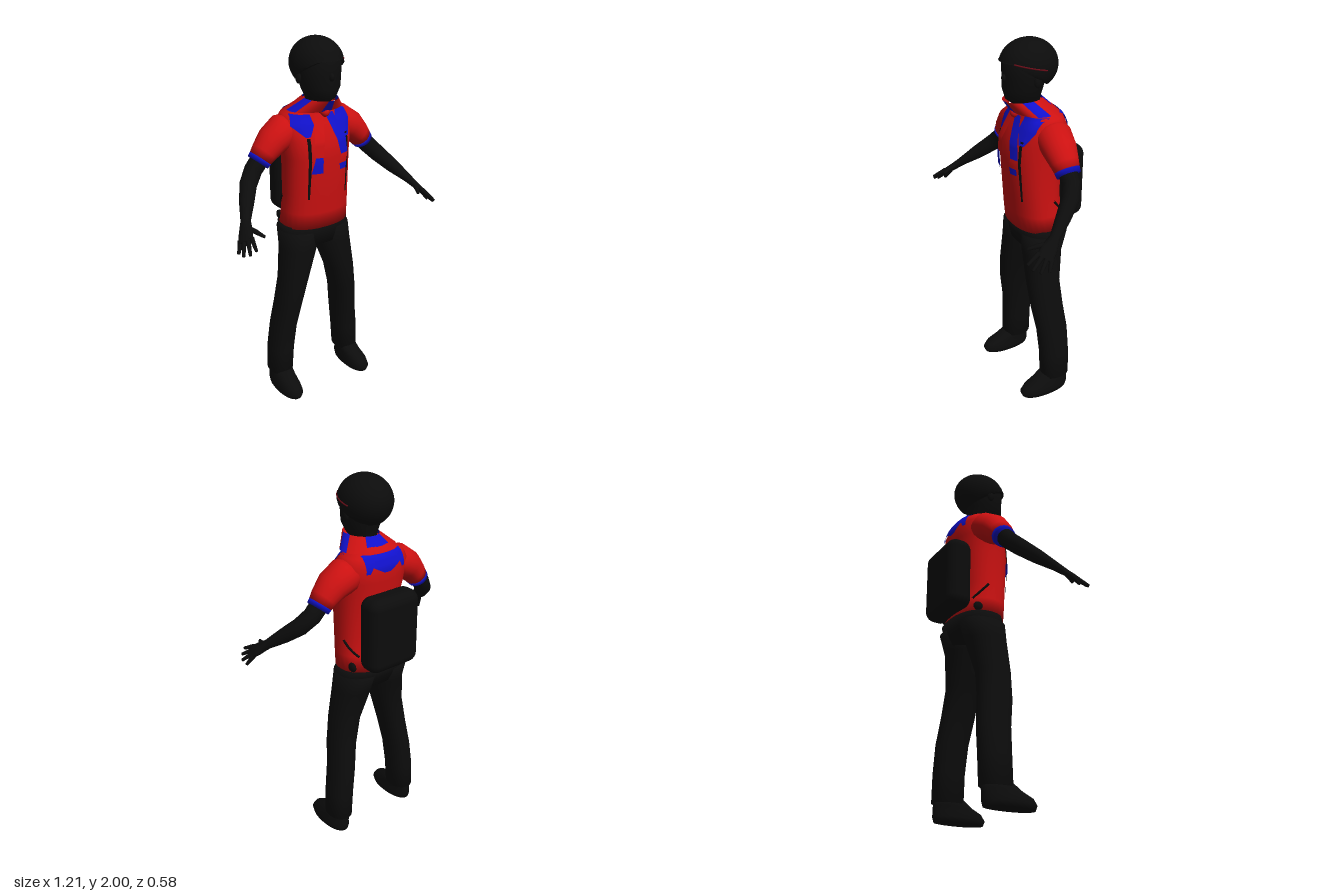
import * as THREE from 'three';
import { RoundedBoxGeometry } from 'three/addons/geometries/RoundedBoxGeometry.js';

const material = (name, color) => new THREE.MeshStandardMaterial({ name, color, side: THREE.DoubleSide });
const V = (x, y, z) => new THREE.Vector3(x, y, z);

function buildGeometry(points, index) {
  const g = new THREE.BufferGeometry().setFromPoints(points);
  g.setIndex(index);
  g.computeVertexNormals();
  return g;
}

// Skin a list of closed rings and cap both ends
function loft(rings) {
  const n = rings[0].length, pts = rings.flat(), idx = [];
  for (let i = 0; i < rings.length - 1; i++) {
    for (let j = 0; j < n; j++) {
      const k = (j + 1) % n, a = i * n + j, b = i * n + k, c = a + n, d = b + n;
      idx.push(a, b, c, b, d, c);
    }
  }
  [0, rings.length - 1].forEach((r, end) => {
    const centre = rings[r].reduce((s, p) => s.add(p), V(0, 0, 0)).divideScalar(n);
    const c = pts.push(centre) - 1;
    for (let j = 0; j < n; j++) {
      const a = r * n + j, b = r * n + (j + 1) % n;
      idx.push(c, end ? a : b, end ? b : a);
    }
  });
  return buildGeometry(pts, idx);
}

// Horizontal superellipse sections: [y, centre x, half width, front z, back z]
function body(sections, power = 2.3, n = 28) {
  const bulge = t => Math.sign(t) * Math.abs(t) ** (2 / power);
  return loft(sections.map(([y, cx, rx, zf, zb]) => Array.from({ length: n }, (_, j) => {
    const a = j / n * Math.PI * 2;
    return V(cx + rx * bulge(Math.sin(a)), y, (zf + zb) / 2 + (zf - zb) / 2 * bulge(Math.cos(a)));
  })));
}

// Limb sections across a path: [x, y, z, radius, other radius]
function limb(path, ref = V(0, 0, 1), n = 14) {
  const centres = path.map(p => V(p[0], p[1], p[2]));
  return loft(path.map((p, i) => {
    const t = centres[Math.min(i + 1, path.length - 1)].clone().sub(centres[Math.max(i - 1, 0)]).normalize();
    const u = ref.clone().addScaledVector(t, -ref.dot(t)).normalize();
    const v = t.clone().cross(u);
    return Array.from({ length: n }, (_, j) => {
      const a = j / n * Math.PI * 2;
      return centres[i].clone().addScaledVector(u, p[3] * Math.cos(a)).addScaledVector(v, (p[4] ?? p[3]) * Math.sin(a));
    });
  }));
}

function mirrored(g) {
  const m = g.clone().scale(-1, 1, 1), a = m.index.array;
  for (let i = 0; i < a.length; i += 3) [a[i], a[i + 1]] = [a[i + 1], a[i]];
  m.computeVertexNormals();
  return m;
}

const TORSO = [
  [1.01, 0, 0.193, 0.07, -0.205], [1.1, 0, 0.188, 0.078, -0.185], [1.2, 0, 0.184, 0.085, -0.175],
  [1.4, 0, 0.183, 0.1, -0.185], [1.5, 0, 0.2, 0.088, -0.2], [1.58, 0, 0.205, 0.052, -0.2],
  [1.625, 0, 0.17, 0.03, -0.185], [1.66, 0, 0.11, 0.03, -0.15], [1.69, 0, 0.07, 0.04, -0.1],
];

// Torso section at a height, for laying cloth and straps on the shirt
function torsoAt(y) {
  let i = 0;
  while (i < TORSO.length - 2 && TORSO[i + 1][0] < y) i++;
  const a = TORSO[i], b = TORSO[i + 1], t = (y - a[0]) / (b[0] - a[0]);
  const [, , rx, zf, zb] = a.map((q, k) => q + (b[k] - q) * t);
  return { rx, zc: (zf + zb) / 2, rz: (zf - zb) / 2 };
}
const rim = t => Math.max(0, 1 - Math.min(1, Math.abs(t)) ** 2.3) ** (1 / 2.3);

// Cloth strip on the shirt; rows are [x from, x to, y] from top to bottom
function drape(rows, offset = 0.007, side = 1) {
  const pts = [], idx = [], cols = 5, steps = 4, w = cols + 1;
  for (let r = 0; r <= (rows.length - 1) * steps; r++) {
    const i = Math.min(Math.floor(r / steps), rows.length - 2), t = r / steps - i;
    const [x0, x1, y] = rows[i].map((q, k) => q + (rows[i + 1][k] - q) * t);
    const { rx, zc, rz } = torsoAt(y);
    for (let c = 0; c <= cols; c++) {
      const x = x0 + (x1 - x0) * c / cols;
      pts.push(V(x, y, zc + side * (rz * rim(x / rx) + offset)));
      if (r && c) {
        const d = pts.length - 1, b = d - w;
        if (side > 0) idx.push(b - 1, d - 1, b, b, d - 1, d);
        else idx.push(b - 1, b, d - 1, b, d, d - 1);
      }
    }
  }
  return buildGeometry(pts, idx);
}

// Section of the flared neck collar between two angles, zero at the front
function collarArc(a0, a1) {
  const pts = [], idx = [], n = 8;
  for (let j = 0; j <= n; j++) {
    const a = a0 + (a1 - a0) * j / n;
    pts.push(V(0.155 * Math.sin(a), 1.642, -0.052 + 0.115 * Math.cos(a)));
    pts.push(V(0.085 * Math.sin(a), 1.705, 0.005 + 0.105 * Math.cos(a)));
    if (j) { const k = j * 2; idx.push(k - 2, k, k - 1, k, k + 1, k - 1); }
  }
  return buildGeometry(pts, idx);
}

export function createModel() {
  const model = new THREE.Group();
  model.name = 'figure';
  const black = material('black', 0x0c0c0c), red = material('red', 0xcc1111);
  const blue = material('blue', 0x1111cc), darkRed = material('dark red', 0x6a0c18);
  const add = (name, g, m) => {
    const mesh = new THREE.Mesh(g, m);
    mesh.name = name;
    model.add(mesh);
  };
  const pair = (name, g, m) => { add(name + 'Left', g, m); add(name + 'Right', mirrored(g), m); };

  // Head and hair with a rim rising toward the forehead
  add('head', body([
    [1.6, 0, 0.06, 0.02, -0.1], [1.685, 0, 0.06, 0.06, -0.09], [1.71, 0, 0.075, 0.095, -0.09],
    [1.76, 0, 0.1, 0.107, -0.1], [1.83, 0, 0.11, 0.106, -0.12], [1.9, 0, 0.11, 0.108, -0.12], [1.95, 0, 0.08, 0.07, -0.1],
  ], 2), black);
  add('nose', new THREE.SphereGeometry(0.016, 10, 8).scale(0.9, 1.3, 1).translate(0, 1.82, 0.104), black);
  pair('ear', new THREE.SphereGeometry(0.03, 10, 8).scale(0.4, 1, 0.7).translate(0.113, 1.81, -0.02), black);
  const hair = new THREE.SphereGeometry(1, 32, 24).scale(0.132, 0.13, 0.152).translate(0, 1.87, -0.03);
  const hp = hair.attributes.position;
  for (let i = 0; i < hp.count; i++) {
    const low = 1.76 + 0.14 * THREE.MathUtils.clamp((hp.getZ(i) + 0.12) / 0.22, 0, 1);
    hp.setY(i, Math.max(hp.getY(i), low));
  }
  hair.computeVertexNormals();
  add('hair', hair, black);
  const hairX = (y, z) => 0.132 * Math.sqrt(1 - ((y - 1.87) / 0.13) ** 2 - ((z + 0.03) / 0.152) ** 2);
  const clip = [0.09, 0.06, 0.03, 0, -0.03, -0.06].map((z, i) => V(hairX(1.9 - i * 0.007, z), 1.9 - i * 0.007, z));
  add('hairClip', new THREE.TubeGeometry(new THREE.CatmullRomCurve3(clip), 16, 0.004, 6), darkRed);

  // Shirt and short sleeves with cuffs
  add('shirt', body(TORSO), red);
  pair('sleeve', limb([
    [0.1, 1.55, -0.08, 0.08, 0.06], [0.17, 1.535, -0.08, 0.095, 0.09], [0.24, 1.495, -0.072, 0.088, 0.08],
    [0.29, 1.445, -0.07, 0.074, 0.066], [0.315, 1.415, -0.07, 0.066, 0.058],
  ], V(0, 0, 1), 20), red);
  pair('cuff', limb([[0.313, 1.417, -0.07, 0.067, 0.059], [0.329, 1.398, -0.07, 0.064, 0.056]], V(0, 0, 1), 20), blue);

  // Arms, palms and fingers
  const spread = V(-0.54, 0.38, 0.75);
  pair('arm', limb([
    [0.29, 1.445, -0.07, 0.048], [0.36, 1.365, -0.065, 0.047], [0.41, 1.31, -0.03, 0.045],
    [0.46, 1.25, 0.04, 0.038], [0.51, 1.19, 0.115, 0.026, 0.024],
    [0.535, 1.155, 0.16, 0.04, 0.018], [0.56, 1.125, 0.2, 0.043, 0.013],
  ], spread), black);
  [[0.597, 1.07, 0.195], [0.595, 1.075, 0.24], [0.575, 1.09, 0.272], [0.55, 1.112, 0.286]].forEach((tip, i) => {
    const base = V(0.552, 1.133, 0.19).addScaledVector(spread, -0.033 + i * 0.022).toArray();
    pair('finger' + (i + 1), limb([[...base, 0.013], [...tip, 0.008]], spread, 8), black);
  });
  pair('thumb', limb([[0.525, 1.172, 0.14, 0.014], [0.502, 1.165, 0.2, 0.013], [0.48, 1.15, 0.245, 0.008]], spread, 8), black);

  // Trousers and shoes
  add('waist', body([[0.9, 0, 0.2, 0.045, -0.16], [0.96, 0, 0.2, 0.056, -0.19], [1.018, 0, 0.199, 0.064, -0.211]]), black);
  pair('trouserLeg', body([
    [0.1, 0.23, 0.066, 0.01, -0.16], [0.25, 0.222, 0.07, 0.01, -0.16], [0.4, 0.204, 0.068, 0.02, -0.158],
    [0.55, 0.182, 0.07, 0.045, -0.14], [0.7, 0.152, 0.08, 0.055, -0.13], [0.88, 0.109, 0.101, 0.055, -0.16],
    [0.98, 0.1, 0.1, 0.055, -0.2],
  ], 2.2), black);
  pair('shoe', body([
    [0.005, 0.235, 0.06, 0.135, -0.145], [0.03, 0.235, 0.065, 0.145, -0.152], [0.06, 0.235, 0.06, 0.125, -0.152],
    [0.085, 0.232, 0.056, 0.07, -0.152], [0.125, 0.228, 0.052, 0.01, -0.148],
  ], 2.2), black);

  // Neck collar in alternating colours
  add('collarFront', collarArc(-0.2, 0.2), blue);
  add('collarBack', collarArc(2.6, 2 * Math.PI - 2.6), blue);
  pair('collarFrontPanel', collarArc(0.2, 1.15), red);
  pair('collarSidePanel', collarArc(1.15, 1.75), blue);
  pair('collarRearPanel', collarArc(1.75, 2.6), red);

  // Neckerchief flaps, knot and hanging tails
  add('flapRight', drape([[-0.16, -0.08, 1.63], [-0.18, -0.07, 1.58], [-0.125, -0.1, 1.525]]), blue);
  add('flapLeft', drape([[0.07, 0.16, 1.635], [0.06, 0.165, 1.57], [0.1, 0.13, 1.5]]), blue);
  add('flapBack', drape([[-0.12, 0.12, 1.64], [-0.11, 0.11, 1.6], [-0.02, 0.02, 1.55]], 0.007, -1), blue);
  pair('flapBackPoint', drape([[0.06, 0.12, 1.63], [0.1, 0.12, 1.555]], 0.008, -1), blue);
  add('knot', new THREE.SphereGeometry(0.025, 12, 8).translate(0, 1.635, 0.048), red);
  add('tailRight', drape([[-0.06, -0.01, 1.63], [-0.09, -0.035, 1.5], [-0.09, -0.05, 1.42]], 0.015), red);
  add('tailRightEnd', drape([[-0.09, -0.05, 1.42], [-0.11, -0.05, 1.335]], 0.015), blue);
  add('tailLeft', drape([[0, 0.05, 1.63], [0.04, 0.1, 1.5], [0.06, 0.11, 1.42]], 0.015), blue);
  add('tailLeftBand', drape([[0.06, 0.11, 1.42], [0.05, 0.1, 1.37]], 0.015), red);
  add('tailLeftEnd', drape([[0.05, 0.1, 1.37], [0.055, 0.1, 1.335]], 0.015), blue);

  // Backpack with straps
  add('backpack', new RoundedBoxGeometry(0.312, 0.405, 0.14, 5, 0.055).translate(0, 1.2425, -0.225), black);
  pair('frontStrap', drape([[0.105, 0.122, 1.52], [0.105, 0.12, 1.4], [0.11, 0.12, 1.19]], 0.008), black);
  const onSide = (y, z) => { const s = torsoAt(y); return V(s.rx * rim((z - s.zc) / s.rz), y, z); };
  const strap = [0, 1, 2, 3].map(i => onSide(1.185 - i * 0.028, -0.08 - i * 0.024));
  pair('sideStrap', new THREE.TubeGeometry(new THREE.CatmullRomCurve3(strap), 12, 0.007, 6), black);
  const buckle = onSide(1.045, -0.135);
  pair('buckle', new THREE.SphereGeometry(0.03, 10, 8).scale(0.5, 0.85, 1).translate(buckle.x, buckle.y, buckle.z), black);
  return model;
}
